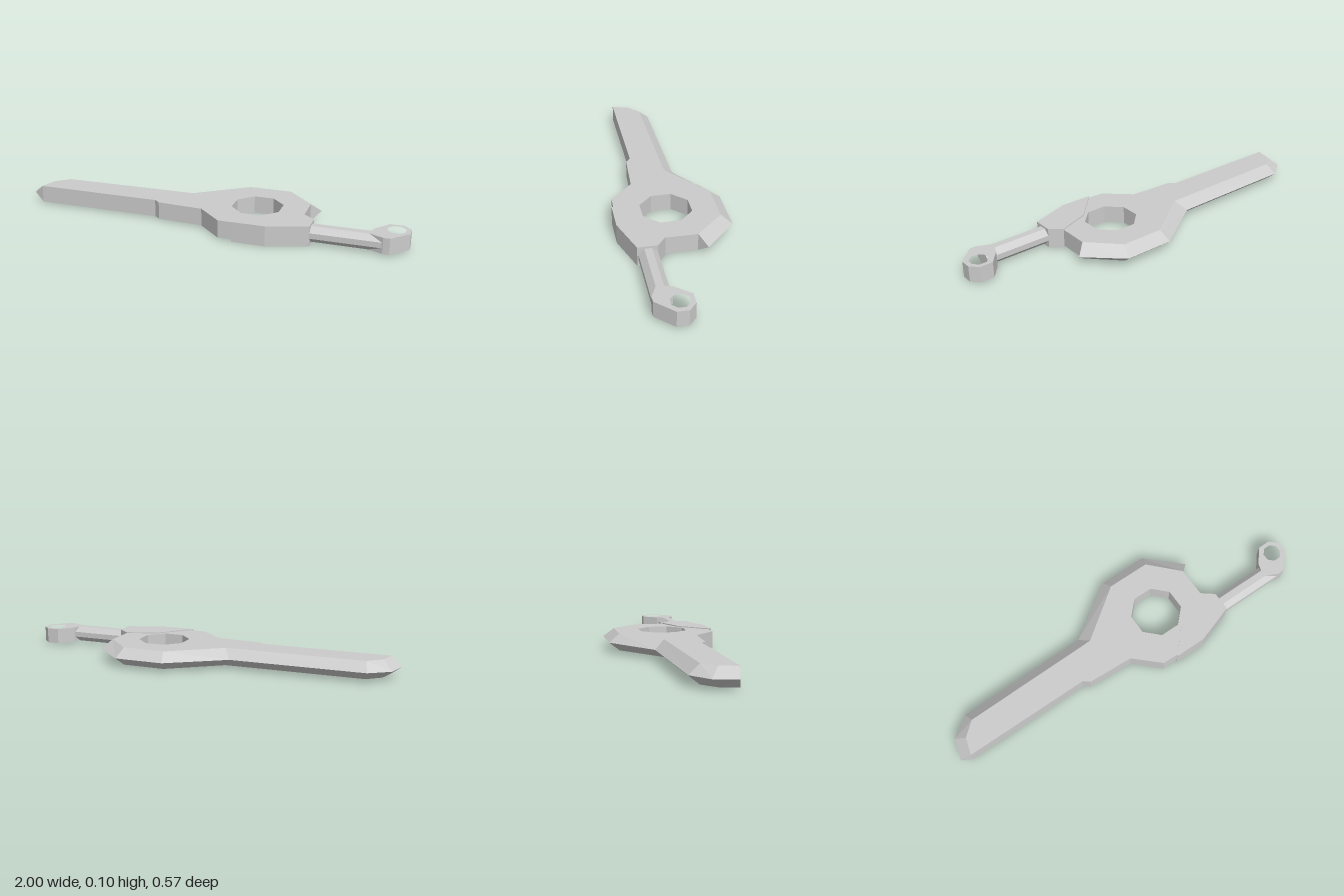
import * as THREE from 'three';

const material = new THREE.MeshStandardMaterial({ color: 0xcccccc, flatShading: true });
const MID = 0.052; // height of the cutting edge and of the handle axis

function addMesh(group, name, geometry) {
  const mesh = new THREE.Mesh(geometry, material);
  mesh.name = name;
  group.add(mesh);
  return mesh;
}

// Octagon with axis-aligned flats
function octagon(cx, cz, flatRadius) {
  const r = flatRadius / Math.cos(Math.PI / 8);
  return Array.from({ length: 8 }, (_, i) => {
    const a = (i + 0.5) * Math.PI / 4;
    return [cx + r * Math.cos(a), cz + r * Math.sin(a)];
  });
}

// Plate from a plan outline of [x, z] points between two heights
function plate(outline, y0, y1, hole) {
  const toPoints = (list) => list.map(([x, z]) => new THREE.Vector2(x, -z));
  const shape = new THREE.Shape(toPoints(outline));
  if (hole) shape.holes.push(new THREE.Path(toPoints(hole)));
  const geometry = new THREE.ExtrudeGeometry(shape, { depth: y1 - y0, bevelEnabled: false });
  return geometry.rotateX(-Math.PI / 2).translate(0, y0, 0);
}

// Double-sided wedge between the flat's border and the sharp edge
function wedge(inner, outer, y0, y1) {
  const positions = [];
  const tri = (...corners) => corners.forEach((c) => positions.push(...c));
  const top = inner.map(([x, z]) => [x, y1, z]);
  const bottom = inner.map(([x, z]) => [x, y0, z]);
  const edge = outer.map(([x, z]) => [x, MID, z]);
  const n = inner.length - 1;
  for (let i = 0; i < n; i++) {
    tri(top[i], edge[i], edge[i + 1]);
    tri(top[i], edge[i + 1], top[i + 1]);
    tri(bottom[i], edge[i + 1], edge[i]);
    tri(bottom[i], bottom[i + 1], edge[i + 1]);
  }
  tri(top[0], bottom[0], edge[0]);
  tri(bottom[n], top[n], edge[n]);
  const geometry = new THREE.BufferGeometry();
  geometry.setAttribute('position', new THREE.Float32BufferAttribute(positions, 3));
  geometry.computeVertexNormals();
  return geometry;
}

export function createModel() {
  const model = new THREE.Group();
  model.name = 'blade with handle';

  // Border of the flat and the sharp edge, from the hook round to the tip
  const flatBorder = [[0.48, -0.083], [0.34, -0.227], [0.12, -0.227], [-0.14, -0.04],
    [-0.85, -0.03], [-0.92, 0.03], [-0.945, 0.117]];
  const sharpEdge = [[0.53, -0.123], [0.36, -0.283], [0.105, -0.283], [-0.18, -0.093],
    [-0.865, -0.083], [-0.97, -0.01], [-1, 0.10]];
  const spine = [[-0.29, 0.117], [-0.26, 0.142], [-0.025, 0.155], [0.10, 0.272],
    [0.34, 0.278], [0.51, 0.21], [0.51, 0.11], [0.48, 0.088]];

  // Blade body with the big octagonal hole
  addMesh(model, 'blade body', plate([...flatBorder, ...spine], 0.008, 0.098, octagon(0.23, 0.023, 0.122)));
  addMesh(model, 'cutting edge', wedge(flatBorder, sharpEdge, 0.008, 0.098));

  // Slightly thicker plate that holds the handle
  addMesh(model, 'handle mount', plate([[0.174, 0.283], [0.34, 0.283], [0.54, 0.217],
    [0.54, 0.12], [0.48, 0.073], [0.32, 0.13]], 0, 0.103));

  // Eight-sided handle rod running along x
  const section = [[0.018, 0.0405], [0.046, 0.014], [0.046, -0.014], [0.018, -0.0405],
    [-0.018, -0.0405], [-0.046, -0.014], [-0.046, 0.014], [-0.018, 0.0405]];
  const rodShape = new THREE.Shape(section.map(([z, y]) => new THREE.Vector2(-z, y)));
  const rod = new THREE.ExtrudeGeometry(rodShape, { depth: 0.35, bevelEnabled: false });
  addMesh(model, 'handle rod', rod.rotateY(Math.PI / 2)).position.set(0.53, MID, 0.166);

  // Pommel ring with a small octagonal hole
  addMesh(model, 'pommel ring', plate([[0.82, 0.15], [0.835, 0.11], [0.895, 0.037], [0.96, 0.037],
    [1, 0.075], [1, 0.13], [0.917, 0.214], [0.885, 0.214], [0.82, 0.185]],
  0.0115, 0.0925, octagon(0.933, 0.10, 0.043)));

  return model;
}
